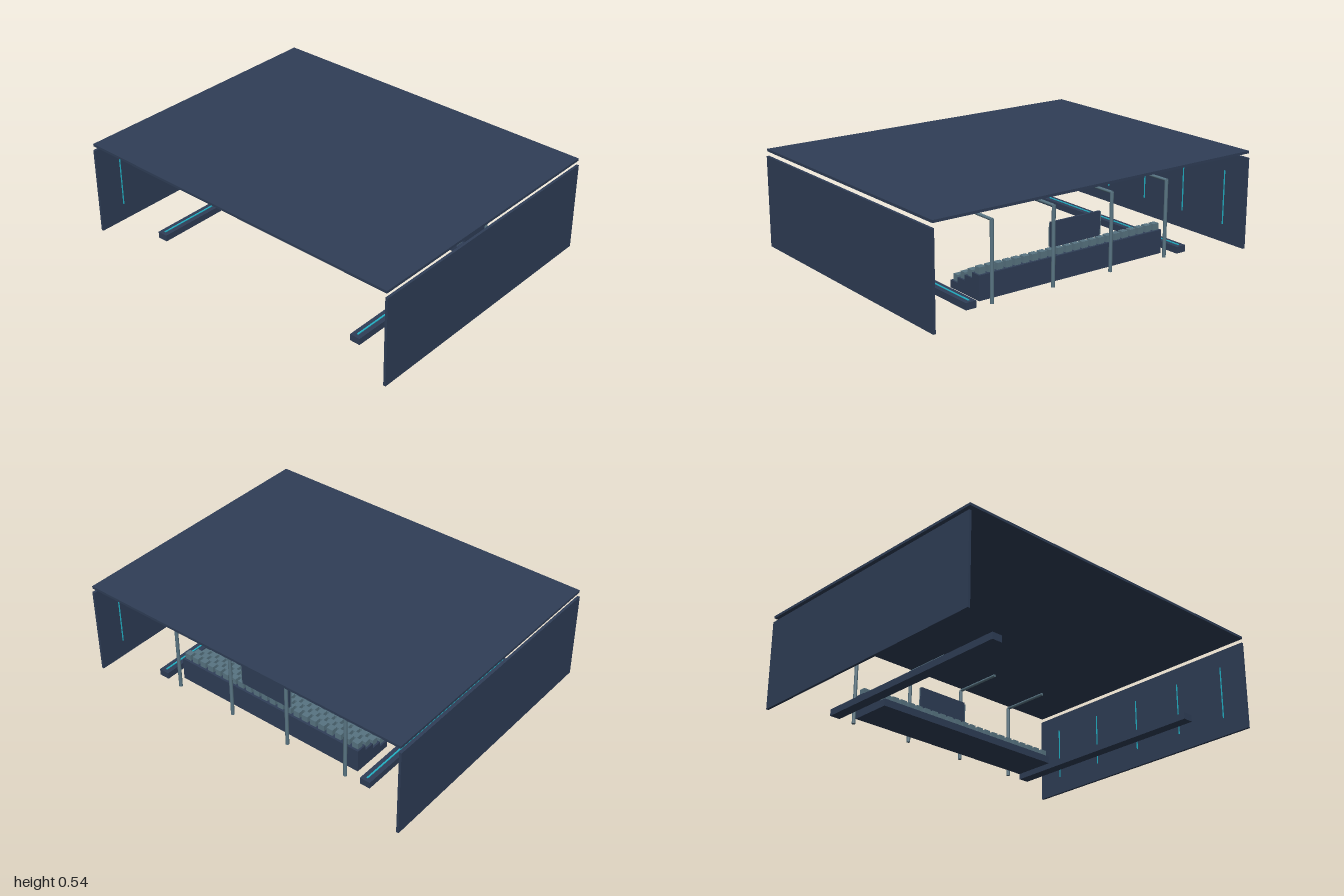
import * as THREE from 'three';

const paint = (name, color) => {
  const m = new THREE.MeshStandardMaterial({ color });
  m.name = name;
  return m;
};

export function createModel() {
  const navy = paint('navy', 0x2f3e57);
  const steel = paint('steel', 0x587482);
  const cyan = paint('cyan', 0x22b4c8);

  const model = new THREE.Group();
  model.name = 'grandstandHall';

  const add = (parent, name, geometry, material, x, y, z) => {
    const mesh = new THREE.Mesh(geometry, material);
    mesh.name = name;
    mesh.position.set(x, y, z);
    parent.add(mesh);
    return mesh;
  };
  const box = (parent, name, material, w, h, d, x, y, z) =>
    add(parent, name, new THREE.BoxGeometry(w, h, d), material, x, y, z);
  const group = (name) => {
    const g = new THREE.Group();
    g.name = name;
    model.add(g);
    return g;
  };

  // Floating roof slab
  box(model, 'roof', navy, 1.55, 0.014, 1.99, 0, 0.532, 0);

  // End walls with light strips inside, and kerbs with a lit line on top
  for (const side of [1, -1]) {
    const end = group(side > 0 ? 'frontEnd' : 'backEnd');
    box(end, 'wall', navy, 1.55, 0.5, 0.014, 0, 0.25, side * 0.993);
    for (let i = -2; i <= 2; i++) {
      box(end, 'wallLight', cyan, 0.005, 0.3, 0.005, i * 0.31, 0.25, side * 0.984);
    }
    box(end, 'kerb', navy, 1.24, 0.037, 0.06, 0, 0.0185, side * 0.68);
    box(end, 'kerbLight', cyan, 1.2, 0.004, 0.008, 0, 0.039, side * 0.68);
  }

  // Stepped stand, highest step on the outside, with a row of seats on each
  const stand = group('stand');
  const tiers = 4, seats = 22, depth = 0.06;
  const seatGeometry = new THREE.BoxGeometry(0.035, 0.035, 0.037);
  for (let t = 0; t < tiers; t++) {
    const x = 0.53 - t * depth;
    const h = 0.13 - t * 0.03;
    box(stand, 'step', navy, depth, h, 1.18, x, h / 2, 0);
    for (let i = 0; i < seats; i++) {
      add(stand, 'seat', seatGeometry, steel, x, h + 0.0175, (i - (seats - 1) / 2) * 0.0535);
    }
  }

  // Board hanging over the top step
  const board = group('board');
  box(board, 'boardPanel', navy, 0.012, 0.13, 0.315, 0.56, 0.25, 0);
  for (const side of [1, -1]) {
    box(board, 'boardEdge', steel, 0.004, 0.12, 0.003, 0.56, 0.25, side * 0.165);
  }

  // Posts with arms reaching over the seats
  const postGeometry = new THREE.CylinderGeometry(0.01, 0.01, 0.42, 12);
  const armGeometry = new THREE.CylinderGeometry(0.008, 0.008, 0.29, 12).rotateZ(Math.PI / 2);
  const frames = group('postFrames');
  for (let i = 0; i < 4; i++) {
    const z = (1.5 - i) * 0.372;
    add(frames, 'post', postGeometry, steel, 0.62, 0.21, z);
    add(frames, 'arm', armGeometry, steel, 0.48, 0.42, z);
  }

  return model;
}
